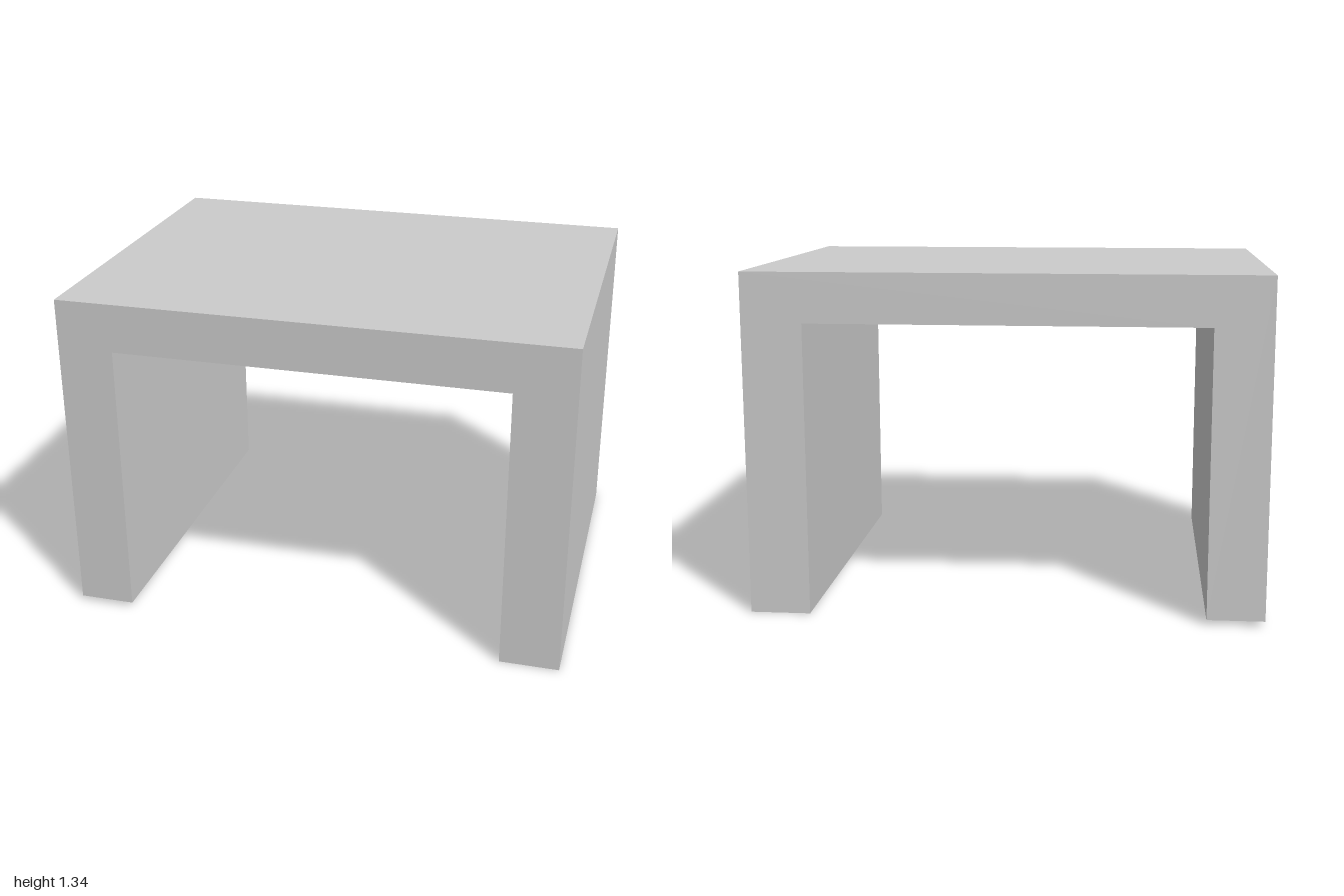
import * as THREE from 'three';

export function createModel() {
  const group = new THREE.Group();
  group.name = 'table';

  // Arch-shaped front outline; the leg at -x is slightly shorter and narrower
  const outline = new THREE.Shape([
    [-1, 0.02], [-0.777, 0.02], [-0.777, 1.143], [0.765, 1.143],
    [0.765, 0], [1, 0], [1, 1.337], [-1, 1.337],
  ].map(([x, y]) => new THREE.Vector2(x, y)));

  // Top and both slab legs in one solid piece
  const depth = 1.494;
  const geometry = new THREE.ExtrudeGeometry(outline, { depth, bevelEnabled: false });
  geometry.translate(0, 0, -depth / 2);

  const body = new THREE.Mesh(
    geometry,
    new THREE.MeshStandardMaterial({ color: 0xcccccc, flatShading: true })
  );
  body.name = 'topAndLegs';
  group.add(body);
  return group;
}
